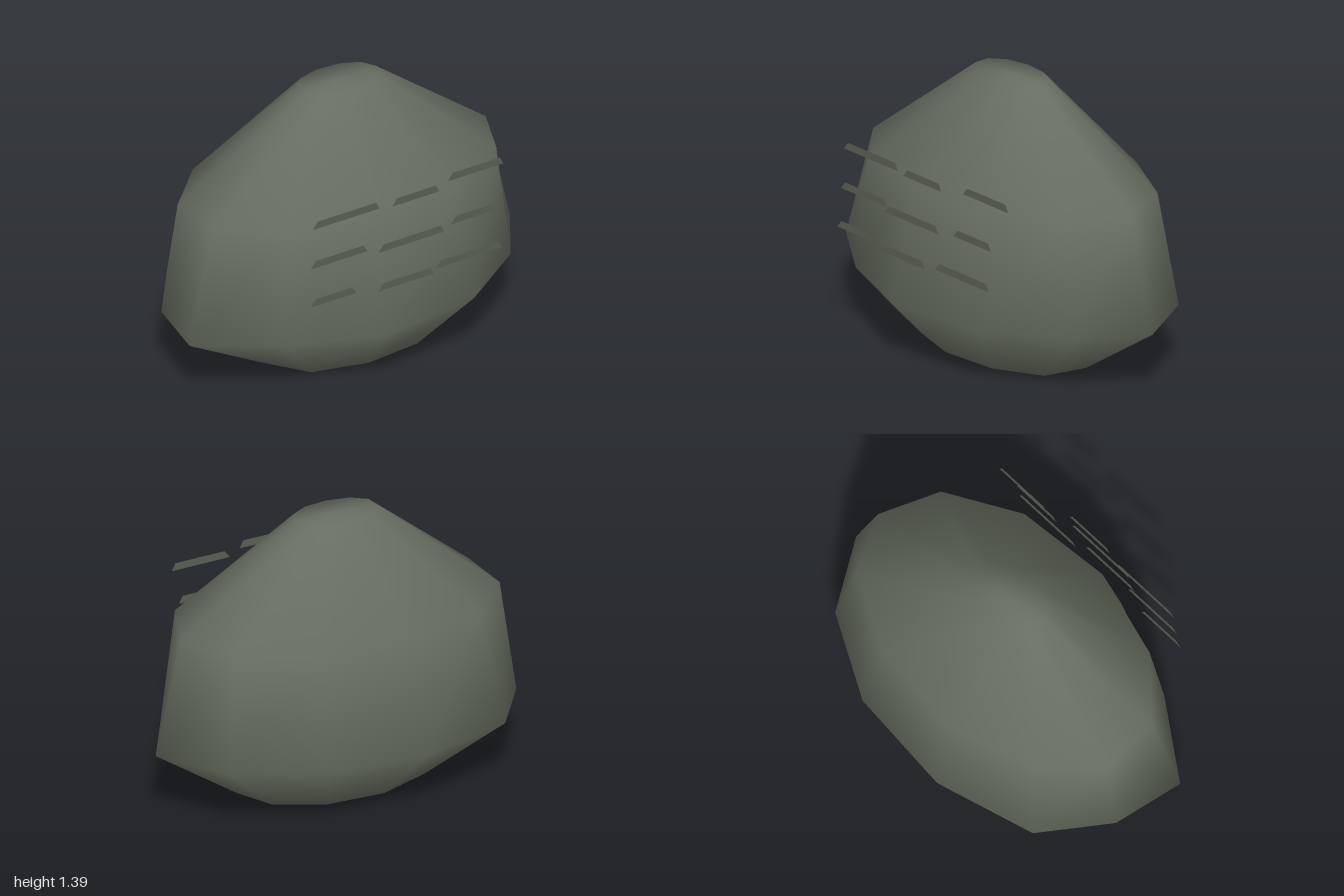
import * as THREE from 'three';

const SIDES = 11;

// Outline of the widest ring, counted from +x towards the back
const WIDE = [[1, -0.02], [0.8, -0.37], [0.39, -0.6], [-0.16, -0.65], [-0.67, -0.51], [-0.92, -0.19],
  [-1, 0.17], [-0.63, 0.44], [-0.16, 0.63], [0.39, 0.57], [0.78, 0.31]];

// Uneven heights of the lower rim, in the same order
const RIM_Y = [0.02, 0.015, 0.015, 0.015, 0.02, 0.01, 0.03, 0.005, 0.01, 0.01, 0.005];

function ellipseRing(rx, rz, heightAt, cx, cz) {
  return Array.from({ length: SIDES }, (_, k) => {
    const a = (k / SIDES) * Math.PI * 2;
    return [cx + rx * Math.cos(a), heightAt(a, k), cz - rz * Math.sin(a)];
  });
}

// Joins rings into one smooth skin, open below and closed above
function loft(rings) {
  const pos = rings.flat(2);
  const index = [];
  for (let r = 0; r < rings.length - 1; r++) {
    for (let k = 0; k < SIDES; k++) {
      const a = r * SIDES + k, b = r * SIDES + (k + 1) % SIDES;
      index.push(a, b, b + SIDES, a, b + SIDES, a + SIDES);
    }
  }
  // Top cap
  const last = rings[rings.length - 1];
  pos.push(...[0, 1, 2].map(i => last.reduce((s, p) => s + p[i], 0) / SIDES));
  const base = (rings.length - 1) * SIDES;
  for (let k = 0; k < SIDES; k++) index.push(base + k, base + (k + 1) % SIDES, base + SIDES);
  const geo = new THREE.BufferGeometry();
  geo.setAttribute('position', new THREE.Float32BufferAttribute(pos, 3));
  geo.setIndex(index);
  geo.computeVertexNormals();
  return geo;
}

export function createModel() {
  const model = new THREE.Group();
  model.name = 'boulder';
  const stone = new THREE.MeshStandardMaterial({ color: 0x676e61, side: THREE.DoubleSide });
  stone.name = 'mossy grey stone';
  const dark = new THREE.MeshStandardMaterial({ color: 0x5a6054, side: THREE.DoubleSide });
  dark.name = 'dark stone';

  const add = (name, geo, mat, parent) => {
    const mesh = new THREE.Mesh(geo, mat);
    mesh.name = name;
    parent.add(mesh);
    return mesh;
  };

  // Rock body: lower rim, widest ring, shoulder, crown
  add('rockBody', loft([
    ellipseRing(0.54, 0.36, (a, k) => RIM_Y[k], 0, -0.005),
    WIDE.map(([x, z]) => [x, 0.317 + 0.013 * x, z]),
    ellipseRing(0.865, 0.54, a => 0.9 + 0.015 * Math.cos(a) - 0.015 * Math.sin(a), -0.01, -0.015),
    ellipseRing(0.22, 0.143, a => 1.388 + 0.004 * Math.cos(2 * a), -0.01, -0.01),
  ]), stone, model);

  // Rows of thin tapered strata plates on the front: y, then [x0, x1, z] of each plate
  const strata = new THREE.Group();
  strata.name = 'strata';
  model.add(strata);
  const rows = [
    [0.99, [[-0.56, -0.17, 0.58], [-0.11, 0.165, 0.6], [0.255, 0.58, 0.54]]],
    [0.78, [[-0.575, -0.245, 0.585], [-0.21, 0.175, 0.63], [0.24, 0.51, 0.59]]],
    [0.58, [[-0.585, -0.32, 0.6], [-0.225, 0.1, 0.65], [0.135, 0.52, 0.615]]],
  ];
  for (const [y, plates] of rows) {
    for (const [x0, x1, z] of plates) {
      const shape = new THREE.Shape([
        new THREE.Vector2(x0, 0), new THREE.Vector2(x1, 0),
        new THREE.Vector2(x1 - 0.02, 0.038), new THREE.Vector2(x0 + 0.03, 0.038),
      ]);
      add('strataPlate', new THREE.ShapeGeometry(shape), dark, strata).position.set(0, y, z);
    }
  }
  return model;
}
